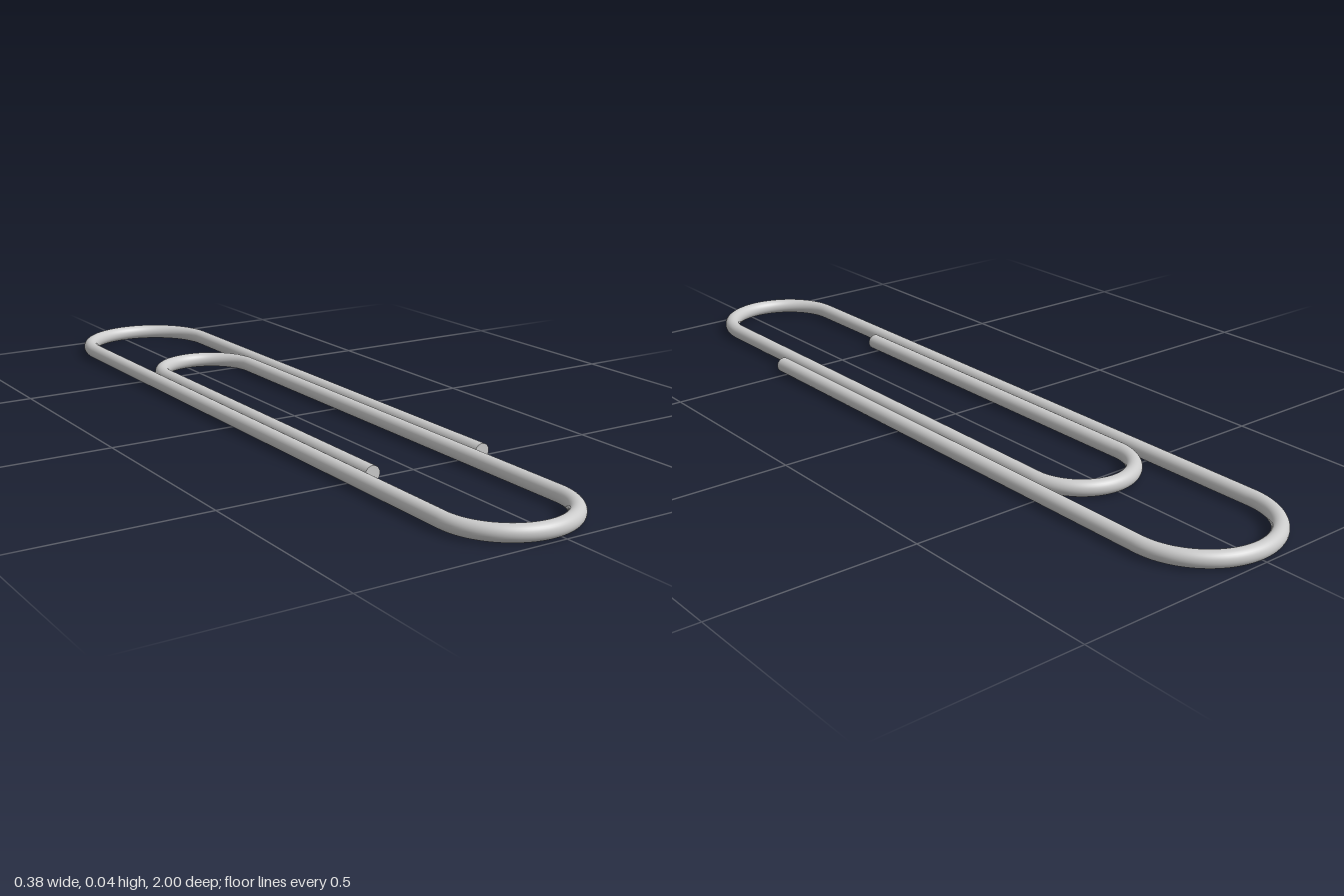
import * as THREE from 'three';

const R = 0.0195;      // wire radius
const SIDES = 32;
const END_Z = 0.525;   // both free ends
const BACK_Z = -0.808, FRONT_Z = 0.83, INNER_Z = -0.445; // bend centres
const OUTER_X = 0.173, INNER_X = 0.128;

export function createModel() {
  const group = new THREE.Group();
  group.name = 'paperClip';
  const material = new THREE.MeshStandardMaterial({ color: 0xcccccc });

  const add = (name, geometry, x, z) => {
    const mesh = new THREE.Mesh(geometry, material);
    mesh.name = name;
    mesh.position.set(x, R, z);
    group.add(mesh);
  };

  // Straight run of wire along z
  const straight = (name, x, z0, z1) => {
    const g = new THREE.CylinderGeometry(R, R, z1 - z0, SIDES, 1, true).rotateX(Math.PI / 2);
    add(name, g, x, (z0 + z1) / 2);
  };

  // Half-circle bend joining two runs; dir -1 bulges to the back, +1 to the front
  const bend = (name, x0, x1, z, dir) => {
    const g = new THREE.TorusGeometry((x1 - x0) / 2, R, SIDES, 48, Math.PI).rotateX(dir * Math.PI / 2);
    add(name, g, (x0 + x1) / 2, z);
  };

  // Wire followed from the outer free end to the inner one
  straight('outerLeftLeg', OUTER_X, BACK_Z, END_Z);
  bend('backBend', -OUTER_X, OUTER_X, BACK_Z, -1);
  straight('outerRightLeg', -OUTER_X, BACK_Z, FRONT_Z);
  bend('frontBend', -OUTER_X, INNER_X, FRONT_Z, 1);
  straight('innerLeftLeg', INNER_X, INNER_Z, FRONT_Z);
  bend('innerBend', -INNER_X, INNER_X, INNER_Z, -1);
  straight('innerRightLeg', -INNER_X, INNER_Z, END_Z);

  // Flat cut ends
  add('outerCutEnd', new THREE.CircleGeometry(R, SIDES), OUTER_X, END_Z);
  add('innerCutEnd', new THREE.CircleGeometry(R, SIDES), -INNER_X, END_Z);

  return group;
}
